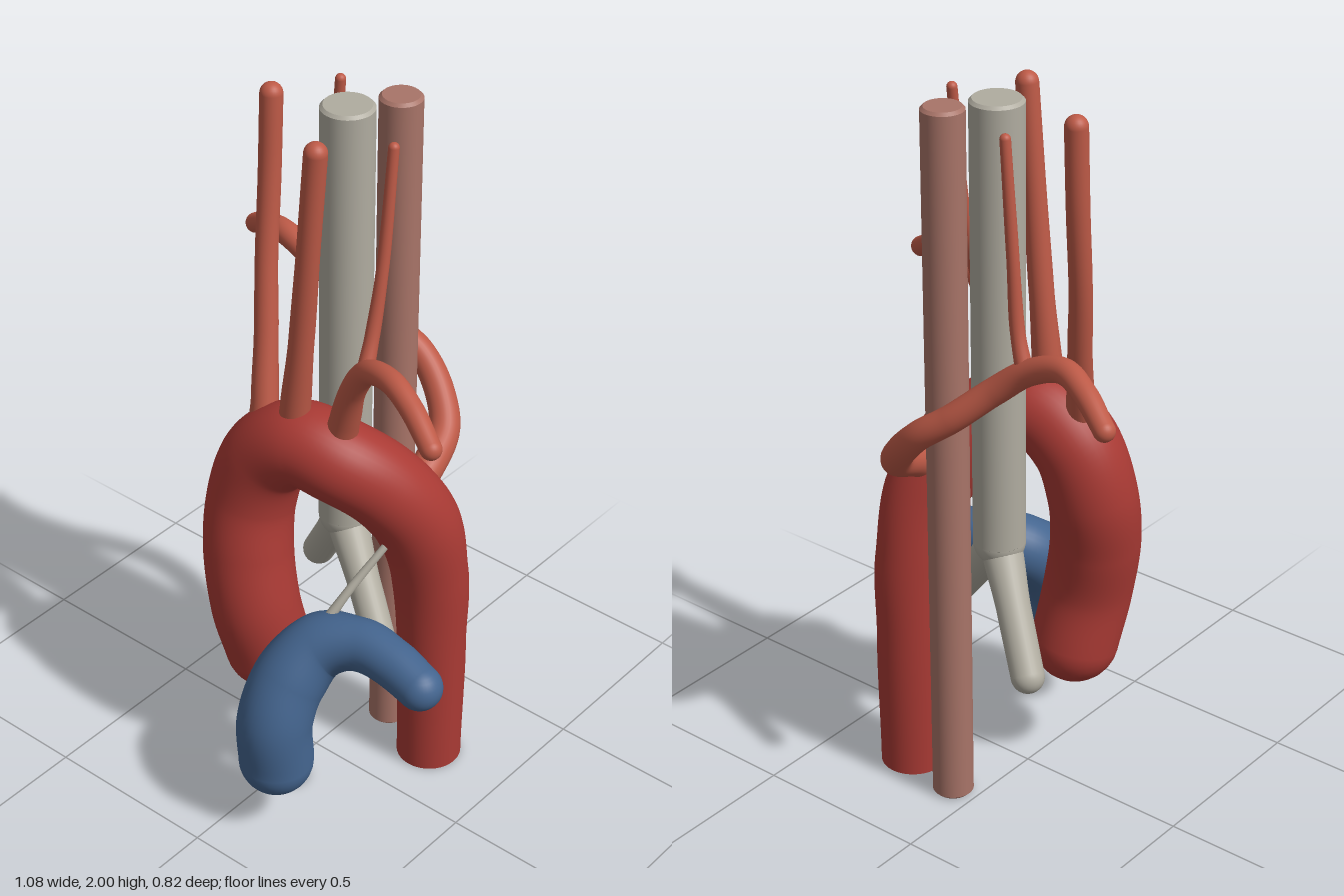
import * as THREE from 'three';

const mat = (name, color) => {
  const m = new THREE.MeshStandardMaterial({ color });
  m.name = name;
  return m;
};

export function createModel() {
  const root = new THREE.Group();
  root.name = 'aorticArchModel';
  const aortaRed = mat('aorta red', 0xa93a34);
  const branchRed = mat('branch artery red', 0xbd5a47);
  const veinBlue = mat('pulmonary blue', 0x44658f);
  const airwayGrey = mat('airway grey', 0xb0aca0);
  const gulletPink = mat('oesophagus pink', 0xa87468);

  // Smooth vessel: each point is [x, y, z, radius]; ends are domed unless flat
  function vessel(name, material, pts, { sides = 28, steps = 80, flatEnd = false } = {}) {
    const group = new THREE.Group();
    group.name = name;
    const curve = new THREE.CatmullRomCurve3(pts.map(p => new THREE.Vector3(p[0], p[1], p[2])));
    const geo = new THREE.TubeGeometry(curve, steps, 1, sides, false);
    const pos = geo.attributes.position;
    const v = new THREE.Vector3();
    for (let i = 0; i <= steps; i++) {
      const u = i / steps;
      const c = curve.getPointAt(u);
      const t = curve.getUtoTmapping(u) * (pts.length - 1);
      const k = Math.min(Math.floor(t), pts.length - 2);
      const r = THREE.MathUtils.lerp(pts[k][3], pts[k + 1][3], THREE.MathUtils.smoothstep(t - k, 0, 1));
      for (let j = 0; j <= sides; j++) {
        const n = i * (sides + 1) + j;
        v.fromBufferAttribute(pos, n).sub(c).multiplyScalar(r).add(c);
        pos.setXYZ(n, v.x, v.y, v.z);
      }
    }
    const add = (part, g) => {
      const m = new THREE.Mesh(g, material);
      m.name = part;
      group.add(m);
      return m;
    };
    add(name + 'Wall', geo);
    const first = pts[0], last = pts[pts.length - 1];
    add(name + 'StartDome', new THREE.SphereGeometry(first[3], sides, 16)).position.set(...first.slice(0, 3));
    if (flatEnd) {
      const cap = add(name + 'EndCap', new THREE.CircleGeometry(last[3], sides));
      cap.position.set(...last.slice(0, 3));
      cap.quaternion.setFromUnitVectors(new THREE.Vector3(0, 0, 1), curve.getTangentAt(1));
    } else {
      add(name + 'EndDome', new THREE.SphereGeometry(last[3], sides, 16)).position.set(...last.slice(0, 3));
    }
    root.add(group);
    return group;
  }

  // Upright straight tube with slightly bevelled rims
  function column(name, material, x, z, r, y0, y1) {
    const b = 0.008;
    const ring = [[0, y0], [r - b, y0], [r - b, y0], [r, y0 + b], [r, y0 + b], [r, y1 - b], [r, y1 - b], [r - b, y1], [r - b, y1], [0, y1]];
    const mesh = new THREE.Mesh(new THREE.LatheGeometry(ring.map(p => new THREE.Vector2(...p)), 40), material);
    mesh.name = name;
    mesh.position.set(x, 0, z);
    root.add(mesh);
  }

  // Aorta: ascending part, arch and descending part
  vessel('aorta', aortaRed, [
    [-0.085, 0.39, 0.1, 0.12], [-0.105, 0.55, 0.13, 0.122], [-0.137, 0.72, 0.118, 0.122],
    [-0.145, 0.87, 0.09, 0.12], [-0.1, 1.01, 0.073, 0.118], [0, 1.082, 0.058, 0.115],
    [0.1, 1.06, 0.03, 0.115], [0.185, 0.98, -0.045, 0.115], [0.24, 0.85, -0.12, 0.115],
    [0.255, 0.65, -0.17, 0.104], [0.255, 0.4, -0.187, 0.095], [0.255, 0.008, -0.19, 0.09],
  ], { sides: 40, steps: 140, flatEnd: true });

  // Neck and arm arteries rising from the arch
  vessel('rightCarotid', branchRed, [
    [-0.12, 1.07, 0.065, 0.045], [-0.14, 1.17, 0.04, 0.036], [-0.168, 1.33, 0.0, 0.032],
    [-0.195, 1.52, -0.035, 0.03], [-0.208, 1.74, -0.065, 0.03], [-0.212, 1.968, -0.08, 0.03],
  ]);
  vessel('leftCarotid', branchRed, [
    [-0.018, 1.12, 0.068, 0.05], [-0.01, 1.2, 0.07, 0.04], [0.015, 1.42, 0.074, 0.033],
    [0.045, 1.72, 0.08, 0.03], [0.066, 1.968, 0.08, 0.03],
  ]);
  vessel('leftSubclavian', branchRed, [
    [0.1, 1.1, 0.03, 0.05], [0.125, 1.2, 0.035, 0.04], [0.165, 1.32, 0.05, 0.034],
    [0.23, 1.41, 0.072, 0.032], [0.33, 1.44, 0.105, 0.031], [0.42, 1.415, 0.138, 0.03],
    [0.51, 1.365, 0.178, 0.028],
  ]);

  // Arm artery that leaves the descending aorta and passes behind the gullet
  vessel('rightSubclavian', branchRed, [
    [0.22, 0.93, -0.12, 0.05], [0.215, 0.975, -0.21, 0.045], [0.19, 1.02, -0.3, 0.042],
    [0.13, 1.09, -0.352, 0.04], [0.05, 1.17, -0.37, 0.038], [-0.03, 1.23, -0.345, 0.037],
    [-0.13, 1.32, -0.29, 0.036], [-0.22, 1.39, -0.268, 0.034], [-0.33, 1.43, -0.274, 0.033],
    [-0.42, 1.41, -0.308, 0.031], [-0.51, 1.36, -0.35, 0.028],
  ], { steps: 120 });

  // Slim vertebral arteries
  vessel('leftVertebral', branchRed, [
    [0.21, 1.4, 0.06, 0.022], [0.2, 1.48, 0.022, 0.019], [0.195, 1.65, -0.02, 0.016],
    [0.19, 1.968, -0.062, 0.014],
  ], { sides: 20 });
  vessel('rightVertebral', branchRed, [
    [-0.2, 1.39, -0.265, 0.022], [-0.172, 1.48, -0.255, 0.019], [-0.153, 1.68, -0.25, 0.016],
    [-0.13, 1.968, -0.248, 0.014],
  ], { sides: 20 });

  // Pulmonary trunk turning into the left branch
  vessel('pulmonaryTrunk', veinBlue, [
    [0.115, 0.23, 0.302, 0.102], [0.115, 0.37, 0.305, 0.102], [0.122, 0.48, 0.25, 0.1],
    [0.16, 0.56, 0.17, 0.09], [0.255, 0.582, 0.12, 0.072], [0.36, 0.572, 0.115, 0.066],
    [0.457, 0.55, 0.125, 0.062],
  ], { sides: 36 });

  // Thin ligament joining the pulmonary trunk to the aorta
  vessel('ligament', airwayGrey, [
    [0.155, 0.62, 0.15, 0.015], [0.185, 0.71, 0.08, 0.012], [0.225, 0.815, -0.015, 0.01],
  ], { sides: 16, steps: 24 });

  // Windpipe, its fork and the two bronchi
  column('windpipe', airwayGrey, 0.005, -0.113, 0.07, 0.76, 2);
  const fork = new THREE.Mesh(new THREE.SphereGeometry(0.07, 32, 20), airwayGrey);
  fork.name = 'windpipeFork';
  fork.position.set(0.005, 0.765, -0.113);
  root.add(fork);
  vessel('leftBronchus', airwayGrey, [[0.01, 0.75, -0.113, 0.055], [0.13, 0.61, -0.05, 0.045], [0.245, 0.475, 0.01, 0.043]]);
  vessel('rightBronchus', airwayGrey, [[0, 0.75, -0.113, 0.055], [-0.095, 0.61, -0.175, 0.046], [-0.185, 0.475, -0.232, 0.045]]);

  // Gullet behind the windpipe
  column('oesophagus', gulletPink, 0.073, -0.236, 0.056, 0.005, 2);

  return root;
}
